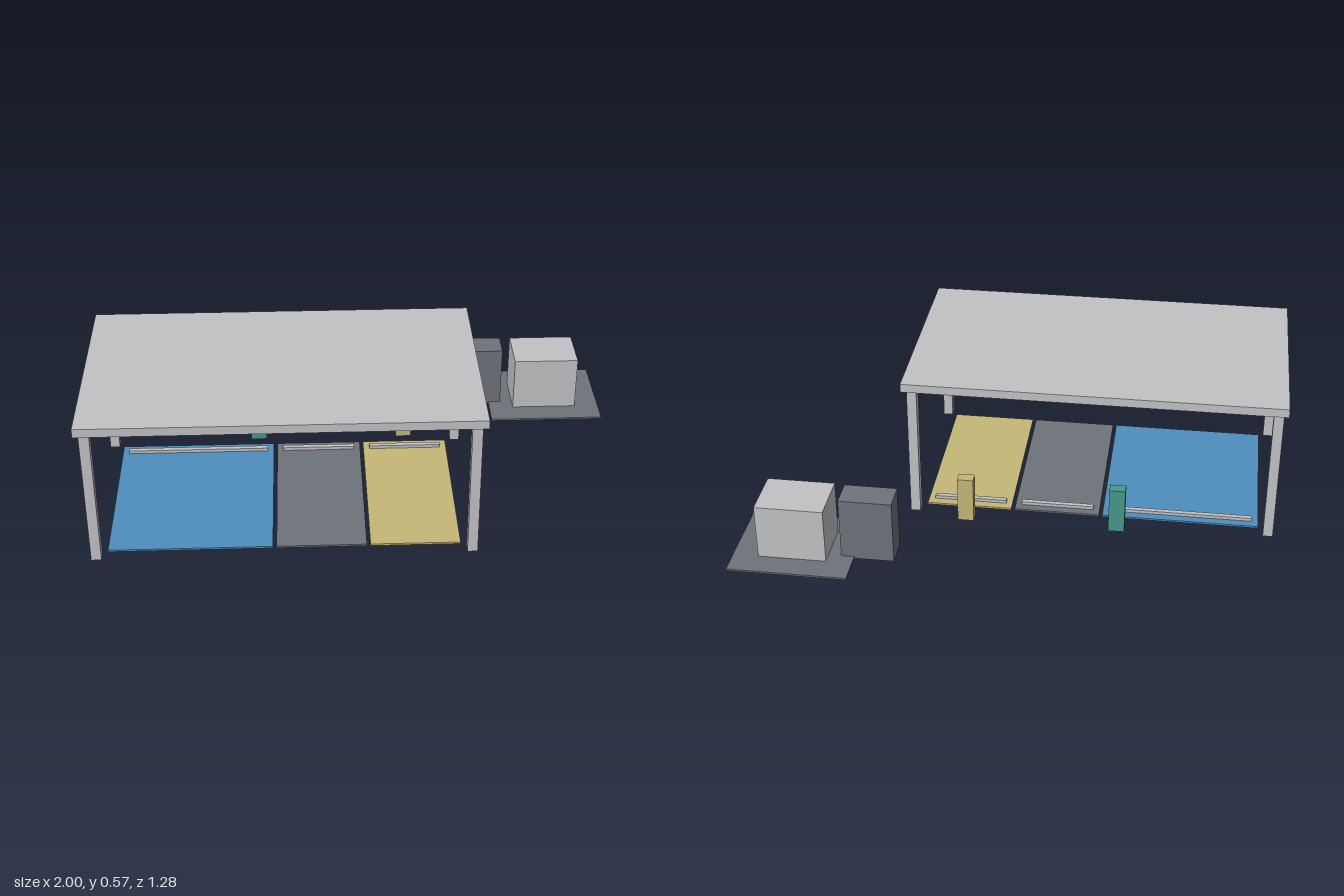
import * as THREE from 'three';

const mat = (name, color) => {
  const m = new THREE.MeshStandardMaterial({ color });
  m.name = name;
  return m;
};

export function createModel() {
  const model = new THREE.Group();
  model.name = 'chargingCanopy';

  const lightGrey = mat('lightGrey', 0xc2c3c5);
  const darkGrey = mat('darkGrey', 0x6e727a);
  const blue = mat('blue', 0x4f8fbf);
  const yellow = mat('yellow', 0xc6b877);
  const teal = mat('teal', 0x46998b);

  // Box given by its extents along each axis
  const block = (name, material, [x0, x1], [y0, y1], [z0, z1]) => {
    const mesh = new THREE.Mesh(new THREE.BoxGeometry(x1 - x0, y1 - y0, z1 - z0), material);
    mesh.position.set((x0 + x1) / 2, (y0 + y1) / 2, (z0 + z1) / 2);
    mesh.name = name;
    model.add(mesh);
  };

  // Canopy: flat roof on four square posts
  block('roof', lightGrey, [-1, 0.422], [0.534, 0.567], [-0.178, 0.639]);
  for (const x of [-0.965, 0.385]) {
    for (const z of [-0.139, 0.601]) {
      block('post', lightGrey, [x - 0.0185, x + 0.0185], [0, 0.534], [z - 0.0185, z + 0.0185]);
    }
  }

  // Parking bays, each with a wheel stop near the back
  const bays = [
    ['wideBay', blue, -0.928, -0.334],
    ['middleBay', darkGrey, -0.321, 0.006],
    ['endBay', yellow, 0.019, 0.346],
  ];
  for (const [name, material, x0, x1] of bays) {
    block(name, material, [x0, x1], [0, 0.0075], [-0.109, 0.572]);
    block('wheelStop', lightGrey, [x0 + 0.024, x1 - 0.024], [0.0075, 0.02], [-0.076, -0.057]);
  }

  // Charging pedestals behind the bays
  block('tealPedestal', teal, [-0.425, -0.364], [0, 0.181], [-0.2, -0.157]);
  block('yellowPedestal', yellow, [0.152, 0.213], [0, 0.181], [-0.2, -0.157]);

  // Equipment pad with transformer and switch cabinet
  block('equipmentPad', darkGrey, [0.551, 1], [0, 0.0075], [-0.639, -0.255]);
  block('transformer', lightGrey, [0.648, 0.904], [0.0075, 0.223], [-0.545, -0.347]);
  block('switchCabinet', darkGrey, [0.402, 0.6], [0, 0.249], [-0.502, -0.391]);

  return model;
}
